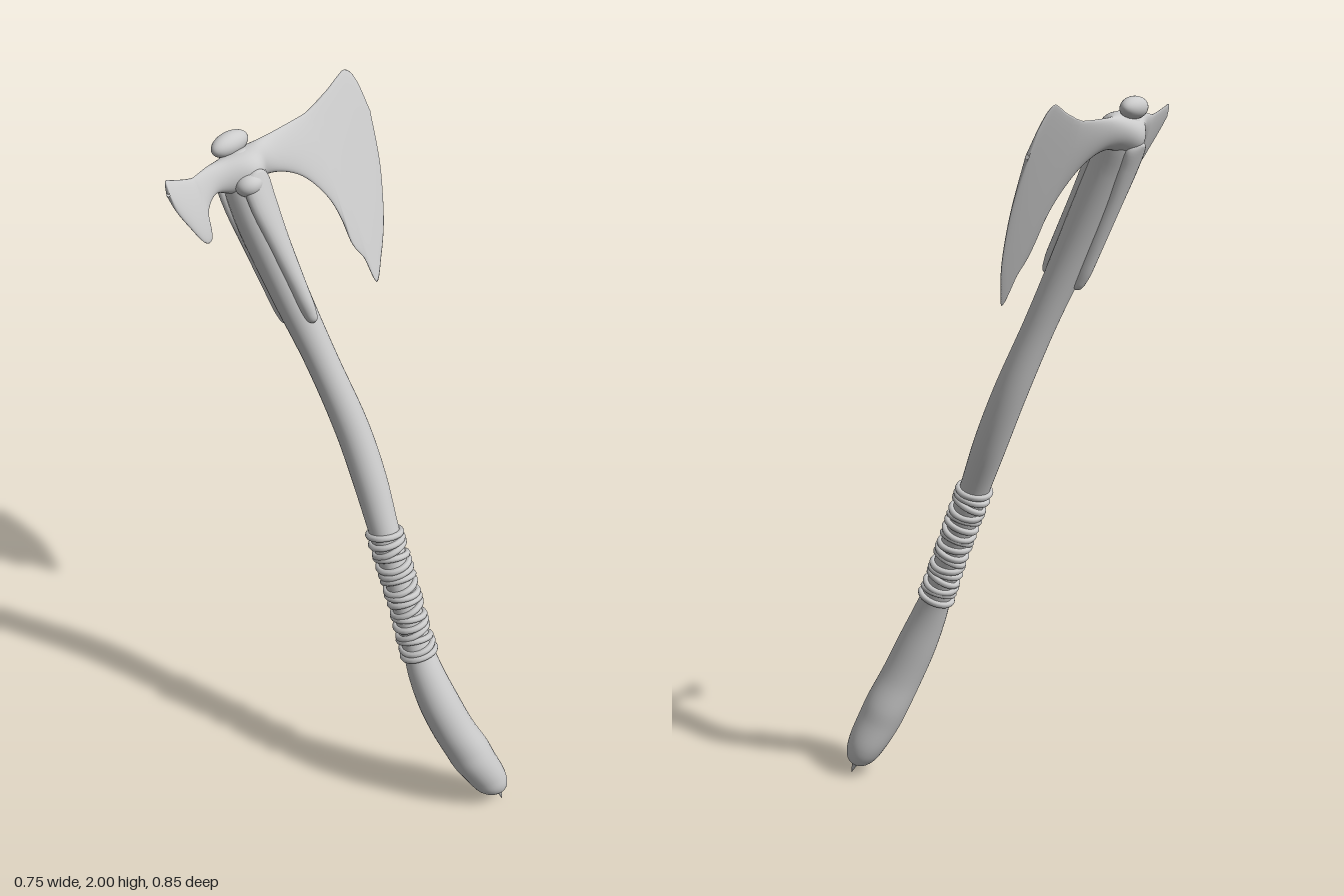
import * as THREE from 'three';

const TILT = 0.385;              // backward lean of the whole axe
const K = 1 / Math.cos(TILT);    // upright height -> length along the leaning axis
const V = (x, y, z) => new THREE.Vector3(x, y, z);

const material = new THREE.MeshStandardMaterial({ color: 0xcccccc, roughness: 0.7, side: THREE.DoubleSide });

// Smooth curve through rows of three numbers
const smooth = (rows, per = 6) =>
  new THREE.CatmullRomCurve3(rows.map(r => V(...r))).getPoints((rows.length - 1) * per);

// Skin over elliptical sections {c, u, v}: centre and two half axes, u x v along the path
function loft(sections, sides = 28) {
  const pos = [], index = [];
  sections.forEach(({ c, u, v }, i) => {
    for (let j = 0; j < sides; j++) {
      const a = (j / sides) * Math.PI * 2;
      const p = c.clone().addScaledVector(u, Math.cos(a)).addScaledVector(v, Math.sin(a));
      pos.push(p.x, p.y, p.z);
      if (i === sections.length - 1) continue;
      const p0 = i * sides + j, p1 = i * sides + (j + 1) % sides;
      index.push(p0, p1, p0 + sides, p1, p1 + sides, p0 + sides);
    }
  });
  const g = new THREE.BufferGeometry();
  g.setAttribute('position', new THREE.Float32BufferAttribute(pos, 3));
  g.setIndex(index);
  g.computeVertexNormals();
  return g;
}

export function createModel() {
  const model = new THREE.Group();
  model.name = 'axe';
  const axe = new THREE.Group();
  axe.name = 'leaningAxe';
  axe.rotation.x = -TILT;
  axe.position.z = 0.4;
  model.add(axe);

  const add = (name, geometry, x = 0, y = 0, z = 0, parent = axe) => {
    const m = new THREE.Mesh(geometry, material);
    m.name = name;
    m.position.set(x, y, z);
    parent.add(m);
    return m;
  };

  // Curved handle: x, height, radius
  const handleRows = [
    [0.018, 0.032, 0.003], [0.014, 0.04, 0.029], [0.005, 0.062, 0.046], [-0.006, 0.1, 0.056],
    [-0.032, 0.17, 0.063], [-0.045, 0.22, 0.064], [-0.07, 0.3, 0.061], [-0.09, 0.4, 0.058],
    [-0.1, 0.5, 0.05], [-0.098, 0.57, 0.043], [-0.085, 0.72, 0.04], [-0.075, 0.9, 0.042],
    [-0.063, 1.05, 0.047], [-0.063, 1.2, 0.047], [-0.087, 1.4, 0.044], [-0.117, 1.6, 0.05],
    [-0.137, 1.8, 0.056], [-0.135, 1.9, 0.052], [-0.135, 1.95, 0.03], [-0.135, 1.955, 0.002],
  ];
  const handle = smooth(handleRows);
  add('handle', loft(handle.map(p => ({
    c: V(p.x, p.y * K, 0), u: V(0, 0, p.z), v: V(p.z, 0, 0),
  }))));

  // Pointed spike under the pommel
  const spike = add('pommelSpike', new THREE.ConeGeometry(0.016, 0.06, 16), 0.024, 0.03, 0);
  spike.rotation.x = Math.PI;

  // Cord wrapped around the grip, turns crossing at changing slants
  const wrap = new THREE.Group();
  wrap.name = 'gripWrap';
  axe.add(wrap);
  const turns = 17;
  for (let i = 0; i < turns; i++) {
    const y = 0.56 + (0.345 * i) / (turns - 1);
    const at = handle.reduce((a, b) => (Math.abs(b.y - y) < Math.abs(a.y - y) ? b : a));
    const turn = add('cordTurn', new THREE.TorusGeometry(at.z + 0.003, 0.0095, 8, 32), at.x, y * K, 0, wrap);
    turn.rotation.set(Math.PI / 2 + 0.12 * Math.sin(i * 1.7), 0.2 * Math.sin(i * 2.3), 0);
  }

  // Axe head: x, top height, bottom height; thick at the eye, thin at both edges
  const headRows = [
    [-0.383, 1.938, 1.932], [-0.376, 1.966, 1.895], [-0.355, 1.961, 1.85], [-0.32, 1.95, 1.795],
    [-0.3, 1.945, 1.797], [-0.282, 1.945, 1.857], [-0.24, 1.95, 1.885], [-0.19, 1.952, 1.868],
    [-0.135, 1.955, 1.85], [-0.08, 1.952, 1.867], [-0.02, 1.95, 1.86], [0.06, 1.95, 1.82],
    [0.125, 1.951, 1.74], [0.147, 1.953, 1.67], [0.155, 1.955, 1.605], [0.18, 1.96, 1.56],
    [0.198, 1.965, 1.488], [0.245, 1.977, 1.54], [0.29, 1.992, 1.605], [0.325, 2.0, 1.68],
    [0.348, 1.985, 1.745], [0.362, 1.95, 1.81], [0.37, 1.885, 1.875],
  ];
  const thickness = x => 0.005
    + 0.048 * Math.exp(-(((x + 0.135) / 0.065) ** 2))
    + 0.012 * Math.exp(-(((x + 0.1) / 0.2) ** 2));
  add('axeHead', loft(smooth(headRows).map(p => ({
    c: V(p.x, (p.y + p.z) / 2 * K, 0),
    u: V(0, (p.y - p.z) / 2 * K, 0),
    v: V(0, 0, thickness(p.x)),
  })), 32));

  // Tapering tongues running down the front and back of the handle: x, height, half width
  const tongue = smooth([
    [-0.113, 1.508, 0.002], [-0.114, 1.515, 0.012], [-0.117, 1.54, 0.018], [-0.125, 1.62, 0.024],
    [-0.137, 1.74, 0.033], [-0.143, 1.83, 0.042], [-0.142, 1.885, 0.04], [-0.14, 1.91, 0.003],
  ]);
  for (const [name, side] of [['frontTongue', 1], ['backTongue', -1]]) {
    add(name, loft(tongue.map(p => ({
      c: V(p.x, p.y * K, 0.047 * side),
      u: V(0, 0, Math.min(0.024, p.z * 1.2)),
      v: V(p.z, 0, 0),
    })), 20));
  }

  // Flattened button on top of the handle and round rivet on the front of the eye
  const ball = new THREE.SphereGeometry(1, 32, 20);
  const button = add('topButton', ball, -0.137, 2.127, -0.005);
  button.scale.set(0.061, 0.03, 0.03);
  const rivet = add('frontRivet', ball, -0.16, 2.024, 0.04);
  rivet.scale.set(0.038, 0.029, 0.034);

  return model;
}
